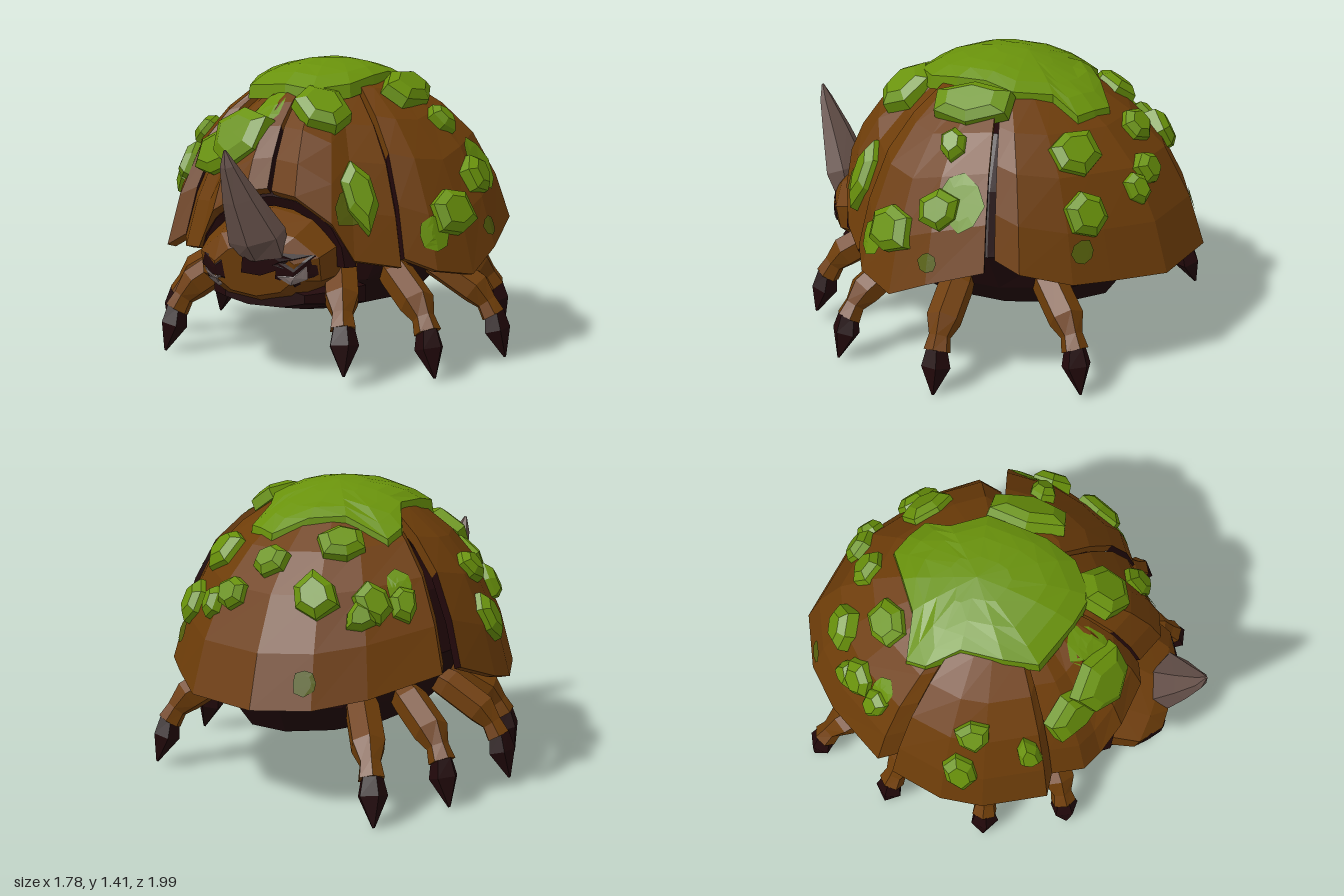
import * as THREE from 'three';

const V = (x, y, z) => new THREE.Vector3(x, y, z);
const mat = (name, color, side = THREE.FrontSide) =>
  new THREE.MeshStandardMaterial({ name, color, side, flatShading: true });

export function createModel() {
  const group = new THREE.Group();
  const brown = mat('shell brown', 0x6e3d09), dark = mat('dark hide', 0x21080a, THREE.DoubleSide);
  const moss = mat('moss green', 0x69920b, THREE.DoubleSide), stain = mat('moss stain', 0x56600c, THREE.DoubleSide);
  const hornGrey = mat('horn grey', 0x67524b), eyeGrey = mat('eye grey', 0x857673, THREE.DoubleSide);

  let seed = 7;
  const rand = () => (seed = (seed * 16807) % 2147483647) / 2147483647;

  // Flat-shaded mesh from a list of triangle corners
  const add = (name, material, corners) => {
    const geo = new THREE.BufferGeometry().setFromPoints(corners);
    geo.computeVertexNormals();
    const mesh = new THREE.Mesh(geo, material);
    mesh.name = name;
    group.add(mesh);
    return mesh;
  };

  // Closed loft along a path; radii are [along ref, across], wobble scales each side
  const tube = (name, material, path, radii, sides, ref, wobble = []) => {
    const rings = path.map((p, k) => {
      const d = path[Math.min(k + 1, path.length - 1)].clone().sub(path[Math.max(k - 1, 0)]).normalize();
      const u = ref.clone().addScaledVector(d, -ref.dot(d)).normalize();
      const v = d.clone().cross(u);
      return Array.from({ length: sides }, (_, i) => {
        const a = ((i + 0.5) / sides) * Math.PI * 2, w = wobble[i] ?? 1;
        return p.clone().addScaledVector(u, Math.cos(a) * radii[k][0] * w)
          .addScaledVector(v, Math.sin(a) * radii[k][1] * w);
      });
    });
    const out = [], last = rings.length - 1;
    for (let i = 0; i < sides; i++) {
      const j = (i + 1) % sides;
      for (let k = 0; k < last; k++) {
        const [a, b, c, d] = [rings[k][i], rings[k][j], rings[k + 1][j], rings[k + 1][i]];
        out.push(a, b, c, a, c, d);
      }
      out.push(path[0], rings[0][j], rings[0][i], path[last], rings[last][i], rings[last][j]);
    }
    return add(name, material, out);
  };

  // Shell plates: columns run from the rim up to a shared apex
  const apex = V(-0.04, 1.38, -0.03), core = V(0, 0.3, 0);
  const profile = [[1, 0], [0.92, 0.3], [0.79, 0.59], [0.62, 0.78], [0.42, 0.92], [0, 1]];
  const plates = [];
  const plate = (name, rim, flatten) => {
    const cols = rim.map(r => profile.map(([h, v]) => {
      const p = V(...r), y = THREE.MathUtils.lerp(v, 1 - h, flatten);
      return V(apex.x + (p.x - apex.x) * h, p.y + (apex.y - p.y) * y, apex.z + (p.z - apex.z) * h);
    }));
    const inner = cols.map(c => c.map(p => p.clone().sub(core).multiplyScalar(0.95).add(core)));
    const outer = [], lining = [], n = profile.length - 1, m = cols.length - 1;
    const quad = (to, a, b, c, d) => to.push(a, b, c, a, c, d);
    for (let i = 0; i < m; i++) {
      for (let k = 0; k < n; k++) {
        quad(outer, cols[i][k], cols[i + 1][k], cols[i + 1][k + 1], cols[i][k + 1]);
        quad(lining, inner[i][k + 1], inner[i + 1][k + 1], inner[i + 1][k], inner[i][k]);
      }
      quad(outer, inner[i][0], inner[i + 1][0], cols[i + 1][0], cols[i][0]);
    }
    // Side edges: dark low down, brown towards the crown
    for (let k = 0; k < n; k++) {
      const edge = k < 2 ? lining : outer;
      quad(edge, inner[0][k], cols[0][k], cols[0][k + 1], inner[0][k + 1]);
      quad(edge, cols[m][k], inner[m][k], inner[m][k + 1], cols[m][k + 1]);
    }
    plates.push(add(name, brown, outer));
    add(name + 'Lining', dark, lining);
  };
  plate('rightSidePlate', [[-0.86, 0.64, -0.3], [-0.89, 0.55, -0.05], [-0.85, 0.5, 0.15], [-0.7, 0.5, 0.43], [-0.6, 0.56, 0.42]], 0.1);
  plate('rightFrontPlate', [[-0.6, 0.55, 0.42], [-0.52, 0.53, 0.56], [-0.42, 0.54, 0.61], [-0.31, 0.73, 0.67], [-0.12, 0.84, 0.7], [-0.03, 0.85, 0.66]], 0.2);
  plate('leftFrontPlate', [[-0.01, 0.84, 0.66], [0.14, 0.83, 0.72], [0.3, 0.71, 0.67], [0.39, 0.54, 0.62], [0.56, 0.5, 0.48]], 0.2);
  plate('leftSidePlate', [[0.57, 0.54, 0.47], [0.7, 0.48, 0.39], [0.8, 0.44, 0.2], [0.83, 0.54, 0], [0.8, 0.64, -0.28]], 0.1);
  plate('backPlate', [[0.66, 0.64, -0.27], [0.7, 0.61, -0.41], [0.57, 0.54, -0.62], [0.42, 0.52, -0.75], [0.18, 0.49, -0.94],
    [-0.2, 0.49, -1], [-0.45, 0.5, -0.88], [-0.63, 0.54, -0.7], [-0.82, 0.62, -0.39], [-0.76, 0.64, -0.29]], 0.12);

  // Body under the shell, chin and the collar around the head
  tube('body', dark, [0.23, 0.28, 0.42, 0.62, 0.9, 1.1].map(y => V(0, y, -0.05)),
    [[0.14, 0.38], [0.38, 0.58], [0.52, 0.68], [0.63, 0.63], [0.52, 0.5], [0.3, 0.3]], 12, V(1, 0, 0));
  tube('chin', dark, [V(0, 0.36, 0.45), V(0, 0.37, 0.62), V(0, 0.37, 0.75)], [[0.4, 0.1], [0.36, 0.08], [0.22, 0.05]], 8, V(1, 0, 0));
  const collar = new THREE.Mesh(new THREE.TorusGeometry(0.35, 0.05, 5, 10, Math.PI), dark);
  collar.name = 'collar';
  collar.position.set(-0.01, 0.51, 0.6);
  collar.scale.y = 0.83;
  group.add(collar);

  // Head and horn
  const head = tube('head', brown, [V(-0.02, 0.53, 0.4), V(-0.02, 0.54, 0.62), V(-0.02, 0.51, 0.75), V(-0.01, 0.5, 0.83)],
    [[0.36, 0.24], [0.35, 0.22], [0.31, 0.18], [0.2, 0.12]], 10, V(1, 0, 0));
  tube('horn', hornGrey, [V(0.01, 0.57, 0.79), V(0, 0.66, 0.82), V(-0.04, 0.84, 0.9), V(-0.065, 0.99, 0.965), V(-0.07, 1.06, 0.985)],
    [[0.14, 0.07], [0.145, 0.1], [0.09, 0.065], [0.04, 0.03], [0.006, 0.006]], 6, V(1, 0, 0));

  // Project a ray onto parts
  const caster = new THREE.Raycaster();
  const project = (targets, origin, dir) => {
    caster.set(origin, dir.clone().normalize());
    const hit = caster.intersectObjects(targets, false)[0];
    return hit && { point: hit.point, normal: hit.face.normal.clone() };
  };

  // Thin patch from an outline: at(u, v, lift) gives each point, rings are [scale, lift]
  const patch = (name, material, outline, at, rings) => {
    const mid = outline.reduce((s, p) => [s[0] + p[0] / outline.length, s[1] + p[1] / outline.length], [0, 0]);
    const grid = rings.map(([s, lift]) => outline.map(p =>
      at(mid[0] + (p[0] - mid[0]) * s, mid[1] + (p[1] - mid[1]) * s, lift)));
    const out = [];
    const tri = (...abc) => { if (abc.every(Boolean)) out.push(...abc); };
    outline.forEach((_, i) => {
      const j = (i + 1) % outline.length;
      for (let k = 0; k < rings.length - 1; k++) {
        tri(grid[k][i], grid[k + 1][j], grid[k][j]);
        tri(grid[k][i], grid[k + 1][i], grid[k + 1][j]);
      }
    });
    add(name, material, out);
  };
  const flat = lift => [[1, lift], [0.6, lift], [0.3, lift], [0, lift]];

  // Moss cap resting on the crown and bridging the seams between plates
  patch('mossCap', moss, [[0, -0.58], [0.1, -0.54], [0.19, -0.49], [0.18, -0.36], [0.28, -0.2], [0.26, -0.05], [0.25, 0.1], [0.2, 0.26],
    [0.06, 0.38], [-0.1, 0.35], [-0.34, 0.26], [-0.38, 0.1], [-0.4, -0.1], [-0.5, -0.24], [-0.49, -0.34], [-0.28, -0.38], [-0.14, -0.48]],
  (x, z, lift) => {
    const hit = project(plates, V(x, 3, z), V(0, -1, 0));
    const dome = 1.38 - 0.8 * ((x - apex.x) ** 2 + (z - apex.z) ** 2);
    return V(x, Math.max(hit ? hit.point.y : 0, dome) + lift, z);
  }, [[1, -0.03], [0.98, 0.03], [0.8, 0.035], [0.6, 0.03], [0.3, 0.025], [0, 0.03]]);

  // Eyes and brow
  const face = (name, m, pts, lift) => patch(name, m, pts, (x, y, l) => {
    const hit = project([head], V(x, y, 3), V(0, 0, -1));
    return hit && hit.point.add(V(0, 0, l));
  }, flat(lift));
  face('rightSocket', dark, [[-0.31, 0.5], [-0.28, 0.56], [-0.16, 0.54], [-0.15, 0.46], [-0.23, 0.4], [-0.29, 0.43]], 0.006);
  face('leftSocket', dark, [[0.09, 0.47], [0.1, 0.55], [0.26, 0.58], [0.27, 0.49], [0.17, 0.43]], 0.006);
  face('brow', dark, [[-0.07, 0.49], [-0.06, 0.56], [0.1, 0.59], [0.25, 0.58], [0.13, 0.52], [0.02, 0.48]], 0.008);
  face('rightEye', eyeGrey, [[-0.29, 0.49], [-0.17, 0.47], [-0.18, 0.42], [-0.23, 0.4], [-0.28, 0.43]], 0.009);
  face('leftEye', eyeGrey, [[0.1, 0.48], [0.23, 0.53], [0.23, 0.47], [0.16, 0.44]], 0.009);

  // Moss lumps: aim point, half width, half height
  const centre = V(0, 0.45, 0);
  const lumps = [
    [-0.38, 1.02, -0.77, 0.12, 0.11], [-0.6, 0.98, -0.6, 0.09, 0.1], [-0.67, 0.95, -0.46, 0.07, 0.09], [-0.35, 1.2, -0.5, 0.11, 0.11],
    [-0.08, 1.12, -0.7, 0.09, 0.08], [0.06, 0.97, -0.82, 0.09, 0.09], [0.18, 0.92, -0.82, 0.06, 0.08], [0.42, 0.84, -0.63, 0.12, 0.12],
    [0.32, 1.09, -0.52, 0.13, 0.12], [0.37, 1.28, -0.03, 0.22, 0.13], [0.56, 1.15, -0.02, 0.07, 0.08], [0.13, 1.2, 0.42, 0.13, 0.15],
    [-0.25, 1.08, 0.55, 0.17, 0.16], [-0.42, 1.0, 0.48, 0.15, 0.13], [0.41, 0.88, 0.59, 0.1, 0.17], [0.73, 0.74, 0.24, 0.13, 0.13],
    [0.75, 0.89, -0.03, 0.1, 0.09], [-0.79, 0.81, 0.02, 0.1, 0.13], [-0.68, 1.03, 0.05, 0.09, 0.08],
    [-0.62, 0.88, 0.3, 0.06, 0.1], [-0.55, 0.9, -0.65, 0.07, 0.07],
  ];
  for (const [x, y, z, w, h] of lumps) {
    const dir = V(x, y, z).sub(centre);
    const hit = project(plates, centre.clone().addScaledVector(dir, 3), dir.clone().negate());
    if (!hit) continue;
    const path = [-0.03, 0.025, 0.055].map(d => hit.point.clone().addScaledVector(hit.normal, d));
    tube('mossLump', moss, path, [1, 0.95, 0.6].map(s => [w * s, h * s]), 6,
      V(hit.normal.z, 0.15, -hit.normal.x), Array.from({ length: 6 }, () => 0.82 + 0.36 * rand()));
  }

  // Flat moss stains on the shell: azimuth from +z, height, size, colour
  const stains = [[100, 0.92, 0.12, moss], [62, 0.64, 0.08, moss], [90, 0.64, 0.05, stain], [142, 0.68, 0.06, stain],
    [205, 0.62, 0.06, stain], [32, 0.78, 0.1, stain], [-125, 1.0, 0.07, moss], [-18, 1.17, 0.1, moss]];
  for (const [deg, y, size, m] of stains) {
    const a = THREE.MathUtils.degToRad(deg);
    const pts = Array.from({ length: 8 }, (_, i) => [Math.cos(i * Math.PI / 4), Math.sin(i * Math.PI / 4)].map(c => c * size * (0.8 + 0.3 * rand())));
    const out = V(Math.sin(a), 0, Math.cos(a)), side = V(Math.cos(a), 0, -Math.sin(a));
    patch('mossStain', m, pts, (u, v, lift) => {
      const hit = project(plates, out.clone().multiplyScalar(3).addScaledVector(side, u).setY(y + v), out.clone().negate());
      return hit && hit.point.addScaledVector(out, lift);
    }, flat(0.008));
  }

  // Eight legs, each placed by the tip of its claw
  const feet = [[0.42, 0.05, 0.8], [0.74, 0.01, 0.51], [0.87, 0, -0.05], [0.63, 0.02, -0.69],
    [-0.66, 0, 0.53], [-0.86, 0, 0.15], [-0.86, 0, -0.38], [-0.74, 0, -0.81]];
  for (const [x, y, z] of feet) {
    const tip = V(x, y, z), out = V(x, 0, z).normalize(), ref = V(-out.z, 0, out.x);
    const at = (r, h) => V(x * r, y + h, z * r);
    const ankle = at(0.93, 0.2);
    tube('leg', brown, [at(0.5, 0.47), at(0.64, 0.42), at(0.83, 0.32), at(0.89, 0.26), ankle],
      [[0.06, 0.06], [0.085, 0.08], [0.085, 0.08], [0.052, 0.052], [0.065, 0.06]], 6, ref);
    tube('claw', dark, [ankle.clone().add(V(0, 0.02, 0)), at(0.95, 0.13), tip],
      [[0.05, 0.05], [0.072, 0.066], [0.006, 0.006]], 5, ref);
  }
  return group;
}
